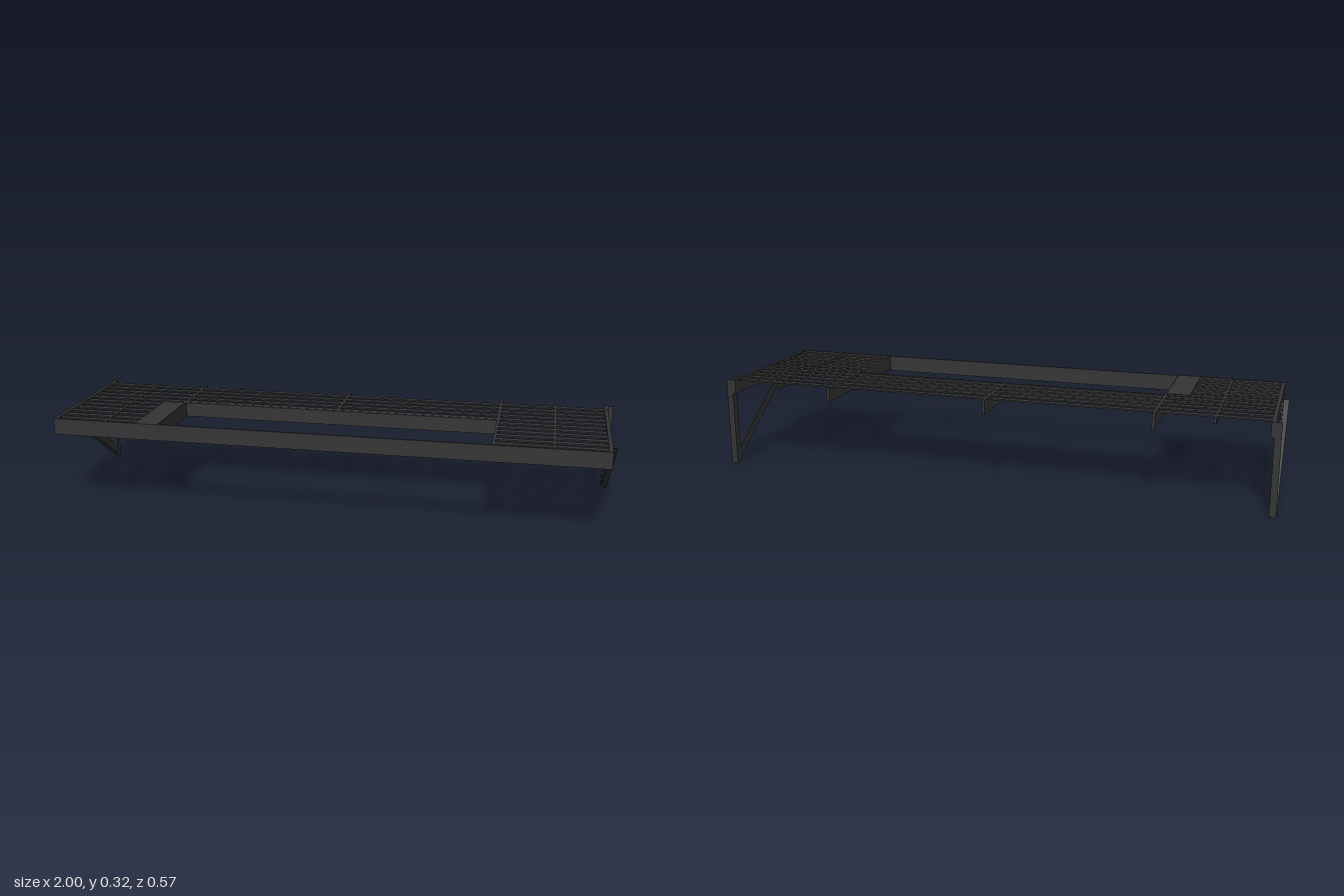
import * as THREE from 'three';

export function createModel() {
  const model = new THREE.Group();
  const steel = new THREE.MeshStandardMaterial({ color: 0x343434 });
  steel.name = 'dark steel';

  // Box given by its lower and upper limits on each axis
  const bar = (name, x0, x1, y0, y1, z0, z1, parent = model) => {
    const mesh = new THREE.Mesh(new THREE.BoxGeometry(x1 - x0, y1 - y0, z1 - z0), steel);
    mesh.name = name;
    mesh.position.set((x0 + x1) / 2, (y0 + y1) / 2, (z0 + z1) / 2);
    parent.add(mesh);
    return mesh;
  };

  // Flat profile drawn in (z, y) and given a thickness from x0 to x1
  const sidePlate = (name, points, x0, x1, parent) => {
    const shape = new THREE.Shape(points.map(([z, y]) => new THREE.Vector2(-z, y)));
    const geo = new THREE.ExtrudeGeometry(shape, { depth: x1 - x0, bevelEnabled: false });
    geo.rotateY(Math.PI / 2).translate(x0, 0, 0);
    const mesh = new THREE.Mesh(geo, steel);
    mesh.name = name;
    parent.add(mesh);
  };

  const top = 0.322;
  const slatY = [0.314, 0.319];

  // Long front beam and the beam behind the opening
  bar('frontBeam', -0.978, 0.978, 0.263, top, 0.275, 0.283);
  bar('openingBeam', -0.59, 0.59, 0.267, 0.32, -0.029, -0.02);

  // Deck slats: full width at the back, short on both sides of the opening
  for (let i = 0; i < 11; i++) {
    const z = -0.241 + i * 0.0487;
    if (i < 5) {
      bar('backSlat', -0.968, 0.968, ...slatY, z - 0.012, z + 0.012);
    } else {
      bar('rightSlat', -0.968, -0.59, ...slatY, z - 0.012, z + 0.012);
      bar('leftSlat', 0.59, 0.968, ...slatY, z - 0.012, z + 0.012);
    }
  }

  // Joists across the deck
  bar('middleJoist', -0.005, 0.005, 0.267, 0.32, -0.283, -0.02);
  for (const s of [-1, 1]) {
    bar('openingJoist', s * 0.588 - 0.005, s * 0.588 + 0.005, 0.267, 0.32, -0.283, 0.276);
    bar('lightJoist', s * 0.788 - 0.004, s * 0.788 + 0.004, 0.3, 0.32, -0.283, 0.276);
  }

  // Flat plate beside the opening
  bar('landingPlate', -0.67, -0.588, 0.3195, 0.322, -0.015, 0.275);

  // End beams with angle-iron wall brackets, mirrored by a half set each
  for (const s of [-1, 1]) {
    const bracket = new THREE.Group();
    bracket.name = s > 0 ? 'leftBracket' : 'rightBracket';
    model.add(bracket);
    const mirrored = (name, a, b, ...rest) =>
      bar(name, Math.min(s * a, s * b), Math.max(s * a, s * b), ...rest, bracket);
    const plate = (name, pts, a, b) =>
      sidePlate(name, pts, Math.min(s * a, s * b), Math.max(s * a, s * b), bracket);

    mirrored('endBeam', 0.965, 0.978, 0.27, top, -0.283, 0.28);
    // Upright post: side leaf and back leaf
    mirrored('postSide', 0.976, 0.981, 0.005, top, -0.283, -0.256);
    mirrored('postBack', 0.976, 0.999, 0.005, top, -0.283, -0.278);
    // Diagonal brace: side leaf and lower leaf
    plate('braceSide', [[-0.281, 0], [0.143, 0.292], [0.092, 0.292], [-0.281, 0.034]], 0.978, 0.982);
    plate('braceFlange', [[-0.281, 0], [0.143, 0.292], [0.137, 0.292], [-0.281, 0.005]], 0.978, 1.0);
  }

  return model;
}
